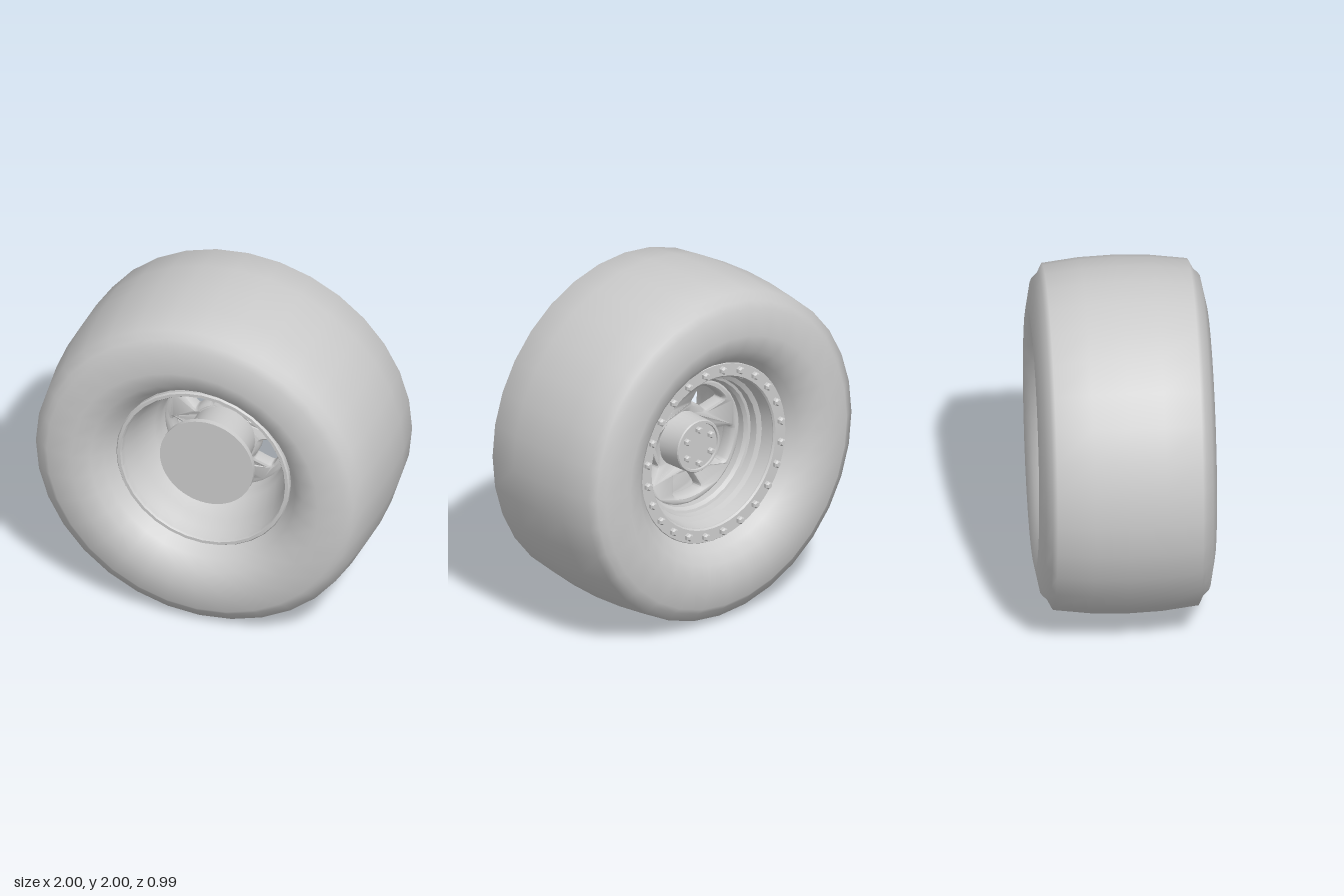
import * as THREE from 'three';
import { toCreasedNormals } from 'three/addons/utils/BufferGeometryUtils.js';

const grey = new THREE.MeshStandardMaterial({ color: 0xcccccc, side: THREE.DoubleSide });

export function createModel() {
  const model = new THREE.Group();
  const wheel = new THREE.Group();
  wheel.name = 'wheel';
  wheel.position.y = 1;
  model.add(wheel);

  const add = (name, geometry, parent = wheel) => {
    const mesh = new THREE.Mesh(geometry, grey);
    mesh.name = name;
    parent.add(mesh);
    return mesh;
  };
  // Revolve [radius, z] points about the wheel axis
  const revolve = (points, segments = 32) =>
    new THREE.LatheGeometry(points.map(([r, z]) => new THREE.Vector2(r, z)), segments).rotateX(Math.PI / 2);
  const creased = (points, segments, angle = 0.5) => toCreasedNormals(revolve(points, segments), angle);

  // Tyre: half profile from the tread centre to the bead, mirrored
  const half = [[0.998, 0], [0.99, 0.2], [0.965, 0.405], [0.915, 0.43], [0.88, 0.465],
    [0.73, 0.495], [0.625, 0.458], [0.565, 0.405], [0.522, 0.34], [0.5, 0.3]];
  const tyre = [...half.slice(1).reverse().map(([r, z]) => [r, -z]), ...half];
  add('tyre', revolve(tyre));

  // Rim barrel with the rolled front lip and stepped rear
  add('rimBarrel', creased([
    [0.505, 0.29], [0.512, 0.345], [0.505, 0.355], [0.487, 0.355], [0.48, 0.345], [0.475, 0.31],
    [0.455, 0.28], [0.44, 0.2], [0.39, 0.06], [0.37, 0.02], [0.37, -0.18], [0.385, -0.2],
    [0.4, -0.205], [0.405, -0.25], [0.43, -0.265], [0.445, -0.34],
  ], 32));

  // Bolted clamp ring at the rear
  add('clampRing', creased([
    [0.445, -0.31], [0.445, -0.345], [0.453, -0.355], [0.525, -0.355], [0.533, -0.345], [0.533, -0.3],
  ], 48));

  // Bolts: a hexagonal shank with a chamfered head, pointing to the rear
  const bolt = (size, height) => toCreasedNormals(new THREE.LatheGeometry([
    [size, 0], [size, height * 0.65], [size * 0.65, height], [0, height],
  ].map(p => new THREE.Vector2(...p)), 6).rotateX(-Math.PI / 2), 0.4);
  const boltCircle = (name, count, radius, z, geometry) => {
    const group = new THREE.Group();
    group.name = name;
    wheel.add(group);
    for (let i = 0; i < count; i++) {
      const a = (i + 0.5) / count * Math.PI * 2;
      add('bolt', geometry, group).position.set(radius * Math.cos(a), radius * Math.sin(a), z);
    }
  };
  boltCircle('clampBolts', 24, 0.49, -0.353, bolt(0.023, 0.03));
  boltCircle('hubBolts', 6, 0.1, -0.222, bolt(0.02, 0.026));

  // Dished centre plate with five bevelled windows
  const plate = new THREE.Shape().absarc(0, 0, 0.36, 0, Math.PI * 2);
  plate.holes.push(new THREE.Path().absarc(0, 0, 0.15, 0, Math.PI * 2, true));
  const polar = (r, a) => [r * Math.cos(a), r * Math.sin(a)];
  for (let i = 0; i < 5; i++) {
    const a = -Math.PI / 2 + i * Math.PI * 2 / 5, h = 0.38;
    const hole = new THREE.Path();
    hole.moveTo(...polar(0.3, a - h));
    hole.quadraticCurveTo(...polar(0.338, a - h), ...polar(0.338, a - h + 0.11));
    hole.absarc(0, 0, 0.338, a - h + 0.11, a + h - 0.11);
    hole.quadraticCurveTo(...polar(0.338, a + h), ...polar(0.3, a + h));
    hole.lineTo(...polar(0.23, a + h));
    hole.quadraticCurveTo(...polar(0.195, a + h), ...polar(0.195, a + h - 0.16));
    hole.absarc(0, 0, 0.195, a + h - 0.16, a - h + 0.16, true);
    hole.quadraticCurveTo(...polar(0.195, a - h), ...polar(0.23, a - h));
    plate.holes.push(hole);
  }
  const plateGeometry = new THREE.ExtrudeGeometry(plate, {
    depth: 0.04, bevelThickness: 0.025, bevelSize: 0.016, bevelSegments: 2, curveSegments: 20,
  });
  const position = plateGeometry.attributes.position;
  for (let i = 0; i < position.count; i++) {
    const r = Math.hypot(position.getX(i), position.getY(i));
    const dish = 0.07 * THREE.MathUtils.clamp((0.34 - r) / 0.17, 0, 1);
    position.setZ(i, position.getZ(i) - 0.12 + dish);
  }
  add('centrePlate', toCreasedNormals(plateGeometry, 0.6));

  // Hub: rear cap, flared root and front carrier
  add('hub', creased([
    [0, -0.222], [0.135, -0.222], [0.138, -0.232], [0.15, -0.232], [0.155, -0.225],
    [0.158, -0.08], [0.175, -0.05], [0.185, 0], [0.185, 0.27],
  ], 32));

  // Brake disc facing the front
  add('brakeDisc', creased([[0, 0.26], [0.275, 0.26], [0.275, 0.29], [0, 0.29]], 48));

  return model;
}
